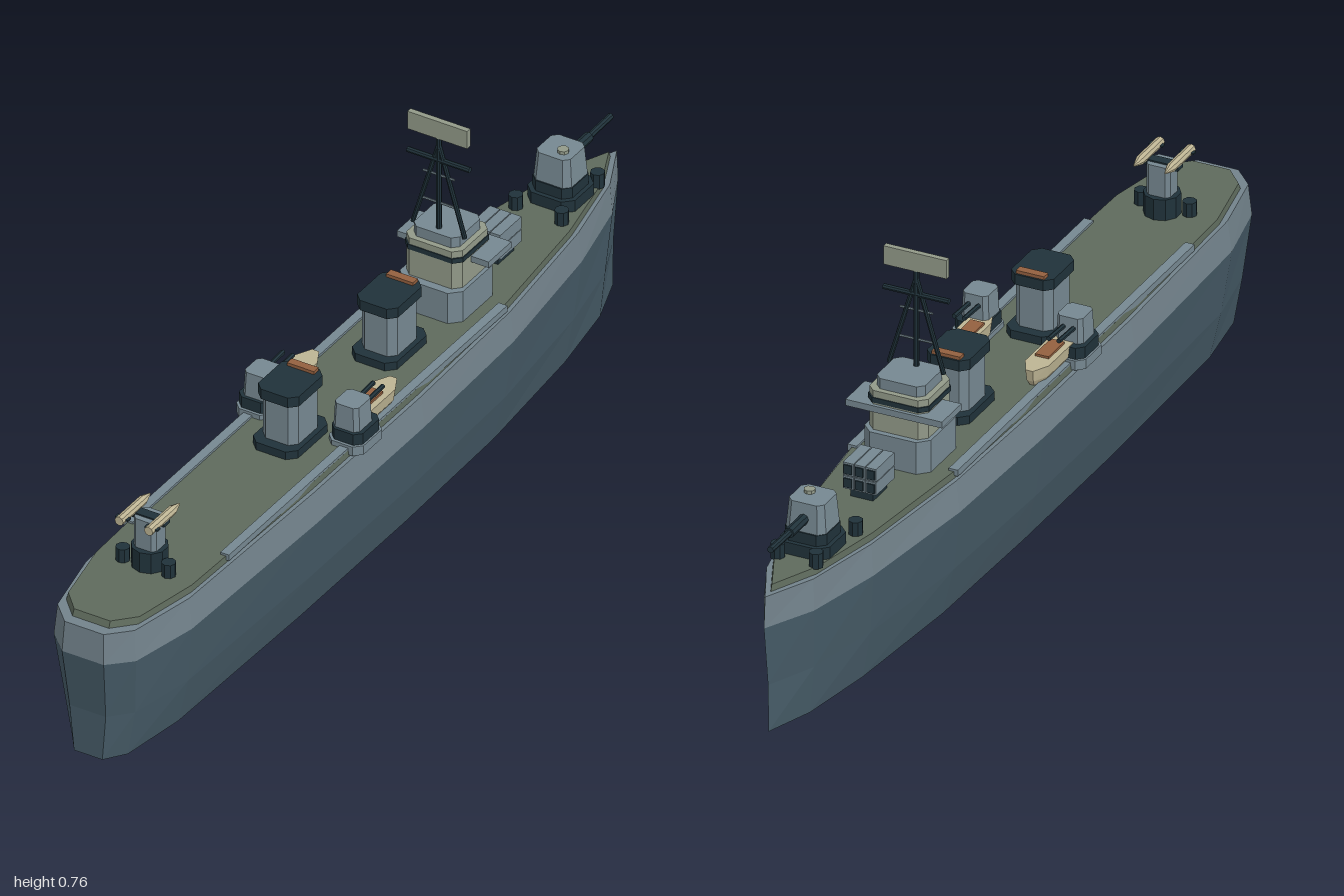
import * as THREE from 'three';

const mat = (name, color) => Object.assign(new THREE.MeshStandardMaterial({ color, flatShading: true }), { name });
const M = {
  lower: mat('lowerHull', 0x465b67),
  upper: mat('upperHull', 0x72828b),
  deck: mat('deckGreen', 0x5e6a5c),
  grey: mat('lightGrey', 0x768891),
  dark: mat('darkSteel', 0x20323a),
  sage: mat('sageGrey', 0x929a89),
  beige: mat('beige', 0xbdb493),
  rust: mat('rust', 0x93603f),
};

// Stack scaled copies of a convex outline; levels are [y, scaleX, scaleZ]
function loft(outline, levels) {
  const pos = [];
  const n = outline.length;
  const P = (l, i) => [outline[i % n][0] * l[1], l[0], outline[i % n][1] * l[2]];
  for (let j = 0; j < levels.length - 1; j++) {
    const a = levels[j], b = levels[j + 1];
    for (let i = 0; i < n; i++) {
      pos.push(...P(a, i), ...P(b, i), ...P(a, i + 1), ...P(b, i), ...P(b, i + 1), ...P(a, i + 1));
    }
  }
  const lo = levels[0], hi = levels[levels.length - 1];
  for (let i = 0; i < n; i++) {
    pos.push(0, lo[0], 0, ...P(lo, i), ...P(lo, i + 1));
    pos.push(0, hi[0], 0, ...P(hi, i + 1), ...P(hi, i));
  }
  const g = new THREE.BufferGeometry();
  g.setAttribute('position', new THREE.Float32BufferAttribute(pos, 3));
  g.computeVertexNormals();
  return g;
}

// Rectangle with cut corners
const chamfer = (hx, hz, c) => [
  [hx - c, -hz], [hx, -hz + c], [hx, hz - c], [hx - c, hz],
  [-hx + c, hz], [-hx, hz - c], [-hx, -hz + c], [-hx + c, -hz],
];

function add(parent, name, geo, material, x = 0, y = 0, z = 0) {
  const m = new THREE.Mesh(geo, material);
  m.name = name;
  m.position.set(x, y, z);
  parent.add(m);
  return m;
}

const box = (p, name, m, w, h, d, x, y, z) => add(p, name, new THREE.BoxGeometry(w, h, d), m, x, y, z);

// Cut-corner block from y0 to y1
const block = (p, name, m, hx, hz, c, y0, y1, x, z, top = 1) =>
  add(p, name, loft(chamfer(hx, hz, c), [[y0, 1, 1], [y1, top, top]]), m, x, 0, z);

// Cylinder between two points
function rod(p, name, m, a, b, r, sides = 8, r2 = r) {
  const A = new THREE.Vector3(...a), B = new THREE.Vector3(...b);
  const d = B.clone().sub(A);
  const mesh = add(p, name, new THREE.CylinderGeometry(r2, r, d.length(), sides), m);
  mesh.position.copy(A).add(B).multiplyScalar(0.5);
  mesh.quaternion.setFromUnitVectors(new THREE.Vector3(0, 1, 0), d.normalize());
  return mesh;
}

function group(parent, name) {
  const g = new THREE.Group();
  g.name = name;
  parent.add(g);
  return g;
}

const DECK = 0.322;

function buildHull(ship) {
  const side = [[0.055, -0.89], [0.095, -0.71], [0.13, -0.4], [0.14, -0.05], [0.14, 0.35], [0.128, 0.8], [0.095, 0.955], [0.048, 1]];
  const outline = [[0, -1], ...side, ...side.slice().reverse().map(([x, z]) => [-x, z])];
  add(ship, 'lowerHull', loft(outline, [[0, 0.68, 0.98], [0.105, 0.87, 0.982], [0.24, 1, 1]]), M.lower);
  add(ship, 'upperHull', loft(outline, [[0.24, 1, 1], [0.308, 0.94, 0.995]]), M.upper);
  add(ship, 'deck', loft(outline, [[0.305, 0.88, 0.972], [DECK, 0.865, 0.965]]), M.deck);
  for (const s of [-1, 1]) box(ship, 'sideWalkway', M.grey, 0.02, 0.014, 1.04, s * 0.111, 0.32, 0.13);
}

function buildBowGun(ship) {
  const g = group(ship, 'bowGun');
  block(g, 'gunBase', M.dark, 0.055, 0.055, 0.02, DECK, 0.348, 0, -0.785);
  block(g, 'gunRing', M.dark, 0.046, 0.046, 0.016, 0.348, 0.372, 0, -0.785);
  block(g, 'turret', M.grey, 0.044, 0.043, 0.013, 0.372, 0.434, 0, -0.785, 0.88);
  add(g, 'hatch', new THREE.CylinderGeometry(0.012, 0.012, 0.008, 8), M.sage, 0.012, 0.437, -0.775);
  rod(g, 'barrelSleeve', M.dark, [0, 0.4, -0.82], [0, 0.4, -0.89], 0.011);
  rod(g, 'barrel', M.dark, [0, 0.4, -0.88], [0, 0.402, -0.972], 0.007);
}

function buildLauncher(ship) {
  const g = group(ship, 'tubeLauncher');
  box(g, 'launcherBase', M.dark, 0.05, 0.02, 0.06, 0, 0.332, -0.54);
  for (let r = 0; r < 2; r++) for (let c = -1; c <= 1; c++) {
    const x = c * 0.025, y = 0.356 + r * 0.03;
    box(g, 'launchTube', M.grey, 0.023, 0.028, 0.08, x, y, -0.54);
    box(g, 'tubeMouth', M.dark, 0.017, 0.02, 0.004, x, y, -0.581);
  }
}

function buildBridge(ship) {
  const g = group(ship, 'bridge');
  block(g, 'bridgeBase', M.grey, 0.073, 0.077, 0.022, DECK, 0.393, 0, -0.357);
  block(g, 'bridgeHouse', M.sage, 0.065, 0.062, 0.016, 0.393, 0.48, 0, -0.36);
  box(g, 'bridgeWing', M.grey, 0.212, 0.014, 0.085, 0, 0.443, -0.387);
  block(g, 'windowBand', M.dark, 0.067, 0.064, 0.016, 0.454, 0.465, 0, -0.36);
  block(g, 'bridgeRoof', M.grey, 0.053, 0.05, 0.013, 0.48, 0.503, 0, -0.36);

  const m = group(ship, 'mast');
  const z = -0.33;
  rod(m, 'mastPole', M.dark, [0, 0.5, z], [0, 0.72, z], 0.006);
  for (const s of [-1, 1]) rod(m, 'mastLeg', M.dark, [s * 0.06, 0.498, z], [0, 0.7, z], 0.005);
  rod(m, 'yard', M.dark, [-0.072, 0.663, z], [0.072, 0.663, z], 0.006);
  for (const y of [0.562, 0.627]) rod(m, 'crossRod', M.grey, [-0.036, y, z], [0.036, y, z], 0.0025, 6);
  box(m, 'radarPanel', M.sage, 0.138, 0.041, 0.012, 0, 0.736, z);
}

function buildFunnel(ship, z) {
  const g = group(ship, 'funnel');
  block(g, 'funnelBase', M.dark, 0.052, 0.073, 0.018, DECK, 0.34, 0, z);
  block(g, 'funnelBody', M.grey, 0.041, 0.05, 0.015, 0.34, 0.438, 0, z);
  block(g, 'funnelCap', M.dark, 0.047, 0.06, 0.016, 0.436, 0.459, 0, z);
  box(g, 'funnelVent', M.rust, 0.062, 0.01, 0.018, 0, 0.461, z - 0.047);
}

// Boat and gun mount on one side
function buildSideMount(ship, s) {
  const b = group(ship, 'boat');
  const hull = [[0.008, -0.085], [0.026, -0.05], [0.026, 0.06], [0.015, 0.085], [-0.015, 0.085], [-0.026, 0.06], [-0.026, -0.05], [-0.008, -0.085]];
  add(b, 'boatHull', loft(hull, [[DECK, 0.6, 0.85], [0.335, 0.9, 0.95], [0.36, 1, 1]]), M.beige, s * 0.09, 0, 0.07);
  box(b, 'boatCover', M.rust, 0.03, 0.008, 0.07, s * 0.088, 0.361, 0.08);

  const g = group(ship, 'sideGun');
  block(g, 'gunPlatform', M.grey, 0.04, 0.05, 0.016, 0.312, 0.333, s * 0.107, 0.155);
  block(g, 'gunBase', M.dark, 0.036, 0.044, 0.014, 0.333, 0.358, s * 0.107, 0.155);
  block(g, 'gunTurret', M.grey, 0.03, 0.032, 0.009, 0.358, 0.412, s * 0.104, 0.16, 0.92);
  for (const d of [-0.011, 0.011]) {
    rod(g, 'gunBarrel', M.dark, [s * 0.104 + d, 0.39, 0.135], [s * 0.104 + d, 0.393, 0.065], 0.005, 6);
  }
}

function buildAftMount(ship) {
  const g = group(ship, 'aftMount');
  add(g, 'mountBase', new THREE.CylinderGeometry(0.038, 0.038, 0.046, 10), M.dark, 0, 0.345, 0.75);
  block(g, 'pedestal', M.grey, 0.026, 0.024, 0.008, 0.366, 0.435, 0, 0.75);
  box(g, 'crossArm', M.dark, 0.08, 0.012, 0.022, 0, 0.432, 0.75);
  for (const s of [-1, 1]) {
    const x = s * 0.034;
    rod(g, 'missile', M.beige, [x, 0.443, 0.81], [x, 0.443, 0.72], 0.01);
    rod(g, 'missileNose', M.beige, [x, 0.443, 0.72], [x, 0.443, 0.695], 0.01, 8, 0.002);
    box(g, 'missileFin', M.dark, 0.03, 0.003, 0.012, x, 0.443, 0.795);
  }
}

export function createModel() {
  const ship = new THREE.Group();
  ship.name = 'warship';
  buildHull(ship);
  buildBowGun(ship);
  buildLauncher(ship);
  buildBridge(ship);
  for (const z of [-0.145, 0.225]) buildFunnel(ship, z);
  for (const s of [-1, 1]) buildSideMount(ship, s);
  buildAftMount(ship);

  // Bollards in pairs: [x, z]
  for (const [x, z] of [[0.042, -0.855], [0.053, -0.703], [0.053, 0.765]]) {
    for (const s of [-1, 1]) {
      add(ship, 'bollard', new THREE.CylinderGeometry(0.015, 0.015, 0.033, 8), M.dark, s * x, 0.336, z);
    }
  }
  return ship;
}
